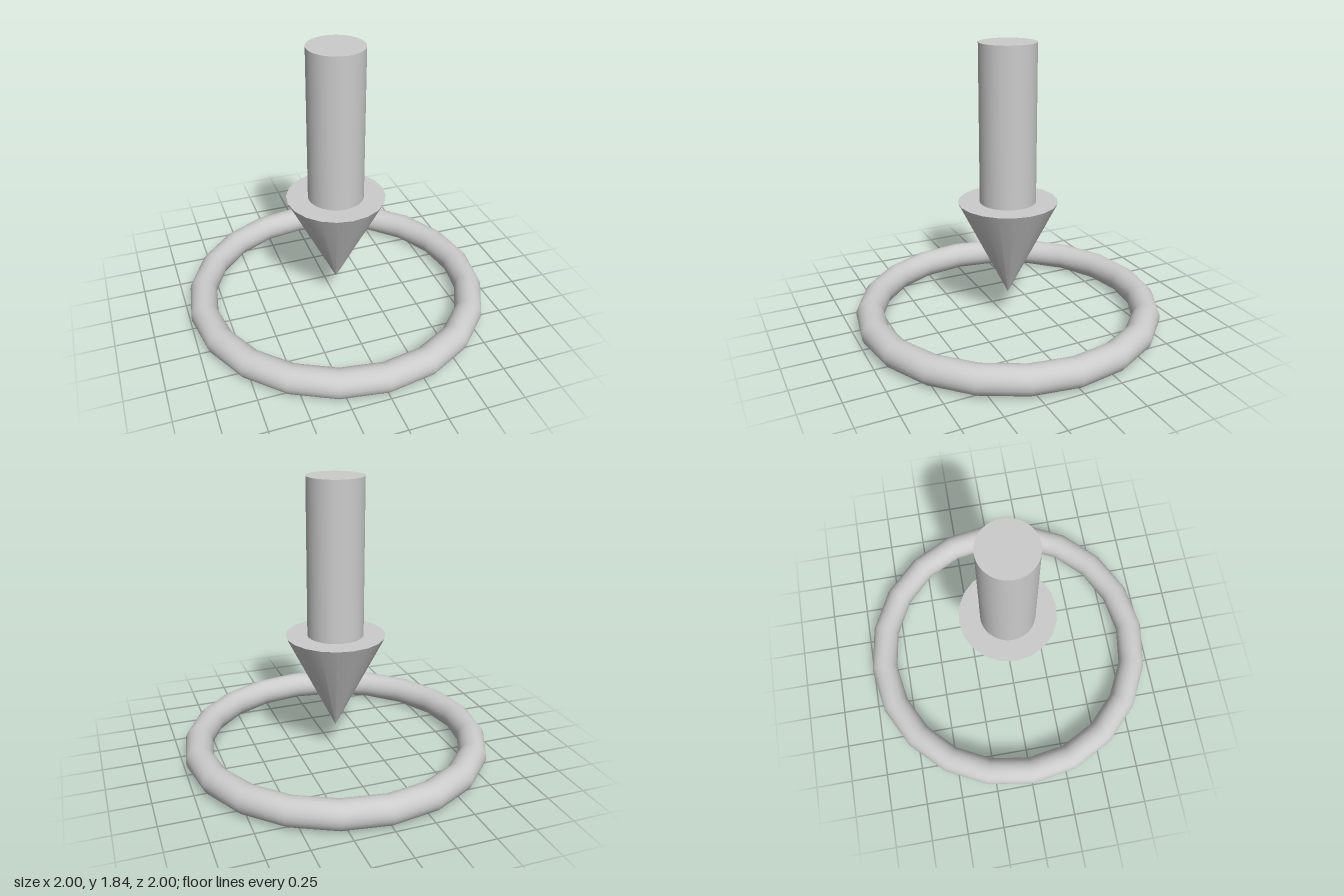
import * as THREE from 'three';

const material = new THREE.MeshStandardMaterial({ color: 0xcccccc });

function addPart(group, name, geometry, y) {
  const mesh = new THREE.Mesh(geometry, material);
  mesh.name = name;
  mesh.position.y = y;
  group.add(mesh);
}

export function createModel() {
  const group = new THREE.Group();
  group.name = 'arrowMarker';

  // Ring lying on the ground: round section, twenty segments around
  const ring = new THREE.TorusGeometry(0.91, 0.09, 24, 20).rotateX(-Math.PI / 2);
  addPart(group, 'groundRing', ring, 0.09);

  // Arrow head: cone pointing down at the ring's centre
  const head = new THREE.ConeGeometry(0.32, 0.64, 20).rotateX(Math.PI);
  addPart(group, 'arrowHead', head, 0.51);

  // Arrow shaft standing on the head
  addPart(group, 'arrowShaft', new THREE.CylinderGeometry(0.18, 0.18, 1.01, 48), 1.335);

  return group;
}
